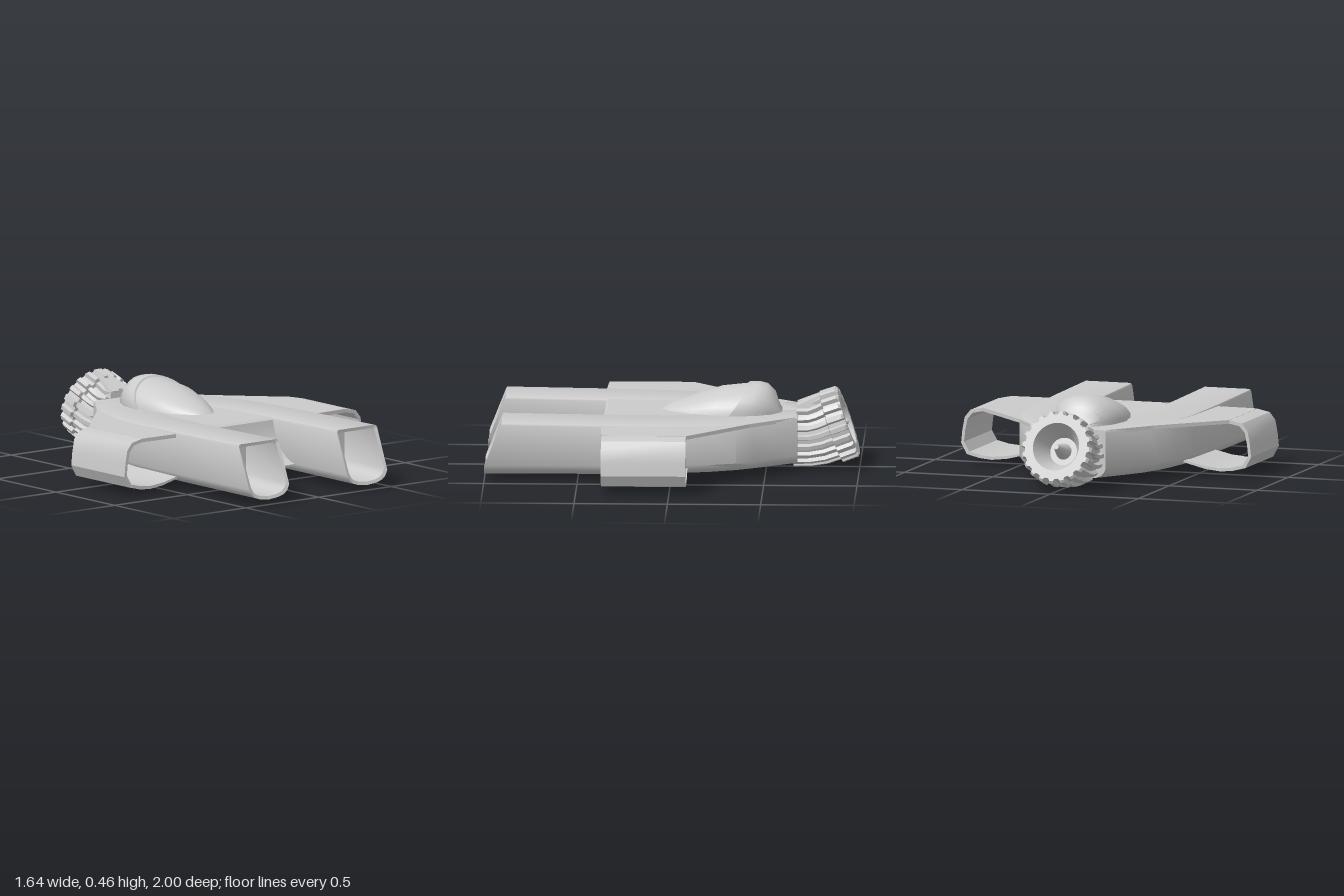
import * as THREE from 'three';
import { toCreasedNormals } from 'three/addons/utils/BufferGeometryUtils.js';

const material = new THREE.MeshStandardMaterial({ color: 0xcccccc, side: THREE.DoubleSide });

function addMesh(group, name, geometry) {
  const mesh = new THREE.Mesh(geometry, material);
  mesh.name = name;
  group.add(mesh);
  return mesh;
}

// Skin through equal-length rings, each counter-clockwise seen from +z, running towards -z; ends capped.
function loft(rings, crease = 0.6) {
  const n = rings[0].length, pos = rings.flat(2), index = [];
  for (let i = 0; i < rings.length - 1; i++) {
    for (let j = 0; j < n; j++) {
      const k = (j + 1) % n;
      const a = i * n + j, b = i * n + k, c = (i + 1) * n + k, d = (i + 1) * n + j;
      index.push(a, d, b, b, d, c);
    }
  }
  [0, rings.length - 1].forEach((r, end) => {
    const mid = pos.length / 3;
    for (let axis = 0; axis < 3; axis++) pos.push(rings[r].reduce((s, p) => s + p[axis], 0) / n);
    for (let j = 0; j < n; j++) {
      const a = r * n + j, b = r * n + (j + 1) % n;
      index.push(mid, end ? b : a, end ? a : b);
    }
  });
  const geometry = new THREE.BufferGeometry();
  geometry.setAttribute('position', new THREE.Float32BufferAttribute(pos, 3));
  geometry.setIndex(index);
  return toCreasedNormals(geometry, crease);
}

const polygon = (points) => new THREE.Shape(points.map(([x, y]) => new THREE.Vector2(x, y)));

// D-shaped nacelle section: flat top, round belly
const SECTION = [
  [0.95, 1], [0.05, 1], [0.015, 0.985], [0, 0.95], [0, 0.22], [0.06, 0.12], [0.14, 0.06], [0.28, 0.02],
  [0.5, 0], [0.72, 0.02], [0.86, 0.06], [0.94, 0.12], [1, 0.22], [1, 0.95], [0.985, 0.985],
];

function nacelle(side) {
  const ring = (z, xi, xo, yb, yt, slant = 0) => {
    const pts = SECTION.map(([u, v]) => [
      side * (xi + (xo - xi) * u), yb + (yt - yb) * v, z - slant * Math.max(0, (v - 0.2) / 0.8)]);
    return side > 0 ? pts : pts.reverse();
  };
  return loft([
    // hollow intake, then the outer skin sweeping in to the tail
    ring(0.65, 0.216, 0.459, 0.052, 0.318),
    ring(0.993, 0.216, 0.459, 0.052, 0.318, 0.09),
    ring(1, 0.2, 0.475, 0.035, 0.335, 0.095),
    ring(0.4, 0.2, 0.475, 0.037, 0.328),
    ring(0, 0.18, 0.465, 0.04, 0.322),
    ring(-0.2, 0.13, 0.44, 0.042, 0.32),
    ring(-0.35, 0.07, 0.4, 0.044, 0.318),
    ring(-0.45, 0.03, 0.35, 0.046, 0.317),
    ring(-0.67, -0.02, 0.2, 0.05, 0.315),
  ]);
}

// Wing: a flat swept plate and a hollow box tube under its tip
function wing(group, side) {
  const mirror = (pts) => pts.map(([x, y]) => [side * x, y]);
  const plate = new THREE.ExtrudeGeometry(
    polygon(mirror([[0.42, 0.375], [0.7, 0.363], [0.7, -0.09], [0.38, -0.42], [0.2, -0.66], [0.15, -0.3]])),
    { depth: 0.02, bevelEnabled: false });
  plate.rotateX(Math.PI / 2).translate(0, 0.316, 0);
  addMesh(group, 'wingPlate', plate);

  const outline = [
    [0.44, 0.315], [0.7, 0.315], [0.77, 0.3], [0.802, 0.26], [0.815, 0.19], [0.822, 0.12],
    [0.79, 0.06], [0.72, 0.042], [0.65, 0.035], [0.56, 0.045], [0.44, 0.075],
  ];
  const shape = polygon(mirror(outline));
  shape.holes.push(polygon(mirror(outline.map(([x, y]) => [
    0.45 + (x - 0.45) * 0.955, 0.175 + (y - 0.175) * 0.88]))));
  const tube = new THREE.ExtrudeGeometry(shape, { depth: 0.453, bevelEnabled: false });
  tube.translate(0, 0, -0.09);
  addMesh(group, 'wingTube', toCreasedNormals(tube, 0.5));
}

// Central hull with a concave front ramp, drawn in side profile
function hull() {
  const shape = new THREE.Shape();
  shape.moveTo(-0.66, 0.315);
  shape.lineTo(0.35, 0.325);
  shape.lineTo(0.365, 0.315);
  shape.quadraticCurveTo(0.4, 0.13, 0.55, 0.1);
  shape.lineTo(0.55, 0.092);
  shape.lineTo(-0.55, 0.075);
  shape.lineTo(-0.66, 0.11);
  const geometry = new THREE.ExtrudeGeometry(shape, { depth: 0.404, bevelEnabled: false, curveSegments: 10 });
  geometry.rotateY(-Math.PI / 2).translate(0.202, 0, 0);
  return toCreasedNormals(geometry, 0.5);
}

// Half-elliptic canopy rings that lean back towards the crown
function dome(rows) {
  return loft(rows.map(([zBase, zTop, w, h]) => Array.from({ length: 19 }, (_, i) => {
    const t = Math.PI * i / 18;
    return [w * Math.cos(t), 0.315 + h * Math.sin(t), zBase + (zTop - zBase) * Math.sin(t)];
  })), 0.65);
}

// Fluted engine bending upwards, with a flared rim and a hollow nozzle
function engine() {
  const teeth = 20;
  const ring = (y, z, r, depth, tilt) => Array.from({ length: teeth * 4 }, (_, i) => {
    const a = (i + (i % 2 ? 0.25 : -0.25)) / (teeth * 4) * Math.PI * 2;
    const radius = i % 4 < 2 ? r : r - depth;
    const s = radius * Math.sin(a);
    return [radius * Math.cos(a), y + s * Math.cos(tilt), z + s * Math.sin(tilt)];
  });
  return loft([
    ring(0.185, -0.655, 0.178, 0.022, -0.06),
    ring(0.186, -0.73, 0.178, 0.022, 0.04),
    ring(0.2, -0.79, 0.182, 0.022, 0.22),
    ring(0.222, -0.845, 0.184, 0.022, 0.335),
    ring(0.224, -0.85, 0.202, 0.022, 0.335),
    ring(0.252, -0.928, 0.2, 0.022, 0.335),
    ring(0.256, -0.939, 0.188, 0.012, 0.335),
    ring(0.256, -0.939, 0.13, 0, 0.335),
    ring(0.213, -0.815, 0.075, 0, 0.335),
  ], 0.45);
}

export function createModel() {
  const model = new THREE.Group();
  model.name = 'spacecraft';

  addMesh(model, 'hull', hull());
  for (const side of [1, -1]) {
    const half = new THREE.Group();
    half.name = side > 0 ? 'leftSide' : 'rightSide';
    addMesh(half, 'nacelle', nacelle(side));
    wing(half, side);
    model.add(half);
  }

  addMesh(model, 'canopyGlass', dome([
    [0.065, 0.05, 0.035, 0.014], [0.03, 0.0, 0.065, 0.04], [-0.03, -0.07, 0.107, 0.065],
    [-0.1, -0.15, 0.145, 0.092], [-0.2, -0.27, 0.178, 0.128], [-0.32, -0.44, 0.19, 0.146],
  ]));
  addMesh(model, 'canopyShell', dome([
    [-0.3, -0.42, 0.197, 0.152], [-0.36, -0.47, 0.192, 0.152], [-0.45, -0.51, 0.172, 0.142],
    [-0.53, -0.55, 0.13, 0.1], [-0.585, -0.575, 0.06, 0.02],
  ]));

  const tail = new THREE.Group();
  tail.name = 'engine';
  tail.position.x = -0.012;
  addMesh(tail, 'nozzle', engine());
  const spike = addMesh(tail, 'spike', new THREE.CylinderGeometry(0.014, 0.045, 0.13, 16));
  spike.position.set(0, 0.234, -0.875);
  spike.rotation.x = -1.235;
  // tapered spine on top of the engine
  const spine = (z, wTop, wBase, yTop, yBase) => [
    [wTop, yTop, z], [-wTop, yTop, z], [-wBase, yBase, z], [wBase, yBase, z]];
  addMesh(tail, 'spine', loft([
    spine(-0.665, 0.07, 0.085, 0.352, 0.28), spine(-0.868, 0.025, 0.045, 0.438, 0.37)]));
  model.add(tail);
  return model;
}
